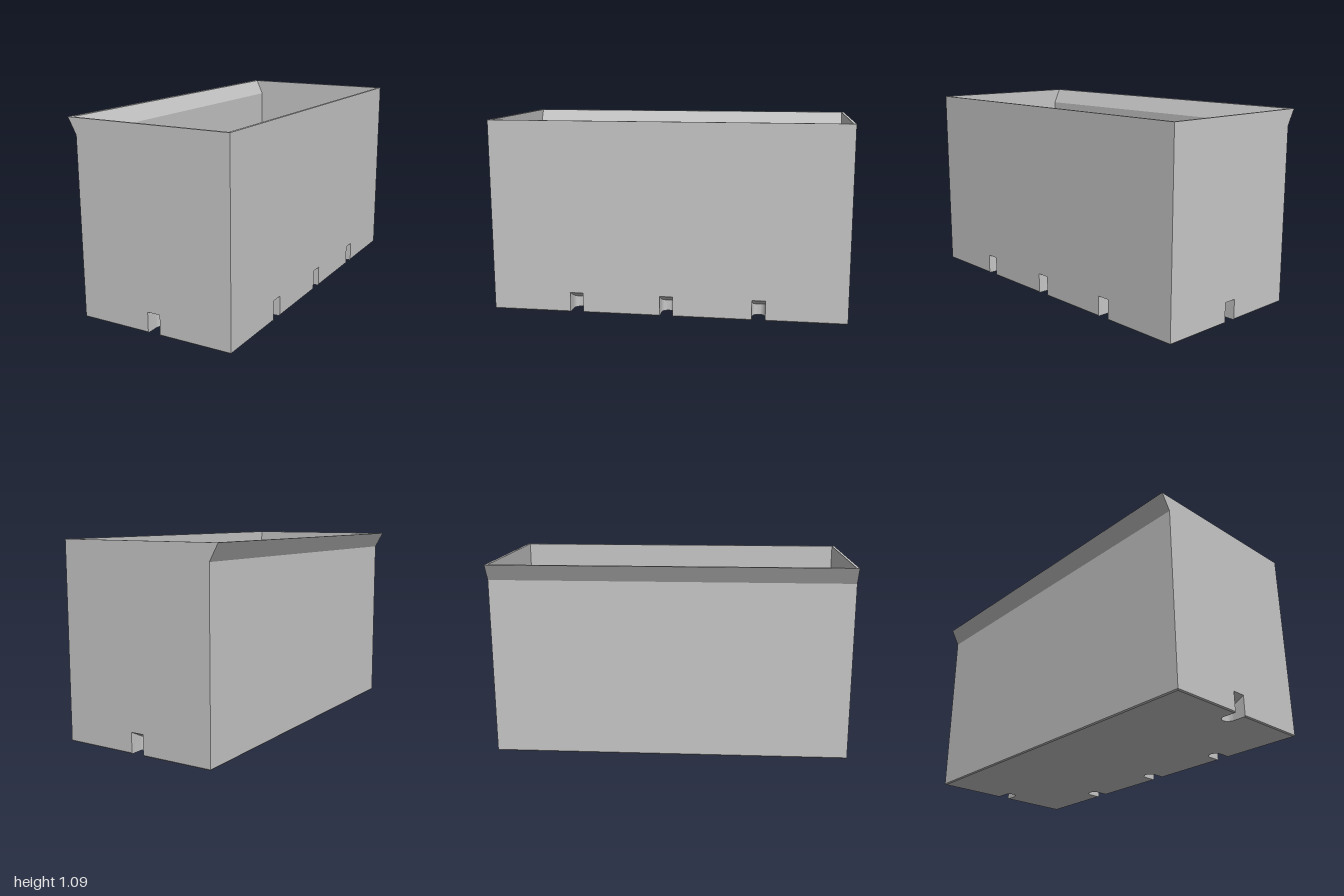
import * as THREE from 'three';
import { toCreasedNormals } from 'three/addons/utils/BufferGeometryUtils.js';

const TOP = 1.09, FLARE_Y = 1.0, X0 = -0.43, X1 = 0.48, LIP = 0.05, WALL = 0.015;
const BEVEL = 0.006;
const R = 0.0375, NOTCH_H = 0.115, NOTCH_C = 0.072, NOTCH_SLOPE = 0.5;
const NOTCH_X = 0.022, SIDE_NOTCHES = [-0.515, 0, 0.515];

// Flat-faced geometry from a list of convex polygons
function polyGeometry(polys, crease = 0) {
  const pos = [];
  for (const p of polys)
    for (let i = 1; i < p.length - 1; i++) pos.push(...p[0], ...p[i], ...p[i + 1]);
  const g = new THREE.BufferGeometry();
  g.setAttribute('position', new THREE.Float32BufferAttribute(pos, 3));
  g.computeVertexNormals();
  return crease ? toCreasedNormals(g, crease) : g;
}

const shapeGeometry = (pts) =>
  new THREE.ShapeGeometry(new THREE.Shape(pts.map(([x, y]) => new THREE.Vector2(x, y))));

// Plan of a notch as [along wall, depth]: straight sides, round back
function notchPlan(start) {
  const pts = [[-R, start]];
  for (let i = 0; i <= 14; i++) {
    const a = Math.PI * (1 - i / 14);
    pts.push([R * Math.cos(a), NOTCH_C + R * Math.sin(a)]);
  }
  pts.push([R, start]);
  return pts;
}

export function createModel() {
  const group = new THREE.Group();
  const grey = new THREE.MeshStandardMaterial({ color: 0xc8c8c8, side: THREE.DoubleSide });
  grey.name = 'plain grey';

  const add = (parent, name, geometry) => {
    const mesh = new THREE.Mesh(geometry, grey);
    mesh.name = name;
    parent.add(mesh);
    return mesh;
  };

  // Drain notch with sloping ceiling; outside of the wall is local +z
  const plan = notchPlan(0);
  const ceilingY = (d) => NOTCH_H - NOTCH_SLOPE * d;
  const sides = [];
  for (let i = 0; i < plan.length - 1; i++) {
    const [a, da] = plan[i], [b, db] = plan[i + 1];
    sides.push([[a, 0, -da], [b, 0, -db], [b, ceilingY(db), -db], [a, ceilingY(da), -da]]);
  }
  const notchSides = polyGeometry(sides, 0.5);
  const notchCeiling = polyGeometry([plan.map(([u, d]) => [u, ceilingY(d), -d])]);

  // Outer wall panel with slots, its bottom bevel and its notches
  function addWall(name, lo, hi, topPts, notches) {
    const wall = new THREE.Group();
    wall.name = name;
    const outline = [[lo, BEVEL]];
    const bevels = [];
    let from = lo;
    for (const n of [...notches, null]) {
      const to = n === null ? hi : n - R;
      bevels.push([[Math.max(from, lo + BEVEL), 0, -BEVEL], [Math.min(to, hi - BEVEL), 0, -BEVEL],
        [to, BEVEL, 0], [from, BEVEL, 0]]);
      if (n === null) break;
      outline.push([n - R, BEVEL], [n - R, NOTCH_H], [n + R, NOTCH_H], [n + R, BEVEL]);
      from = n + R;
      add(wall, 'notchSides', notchSides).position.x = n;
      add(wall, 'notchCeiling', notchCeiling).position.x = n;
    }
    outline.push([hi, BEVEL], ...topPts);
    add(wall, 'wallPanel', shapeGeometry(outline));
    add(wall, 'bottomBevel', polyGeometry(bevels));
    group.add(wall);
    return wall;
  }

  // End walls, including the profile of the flared lip
  addWall('frontWall', X0, X1, [[X1, TOP], [X0 - LIP, TOP], [X0, FLARE_Y]], [NOTCH_X]).position.z = 1;
  const back = addWall('backWall', -X1, -X0, [[-X0, FLARE_Y], [-X0 + LIP, TOP], [-X1, TOP]], [-NOTCH_X]);
  back.position.z = -1;
  back.rotation.y = Math.PI;

  // Long walls
  const left = addWall('leftWall', -1, 1, [[1, TOP], [-1, TOP]], SIDE_NOTCHES);
  left.position.x = X1;
  left.rotation.y = Math.PI / 2;
  const right = addWall('rightWall', -1, 1, [[1, FLARE_Y], [-1, FLARE_Y]], []);
  right.position.x = X0;
  right.rotation.y = -Math.PI / 2;
  add(right, 'flaredLip', polyGeometry([
    [[-1, FLARE_Y, 0], [1, FLARE_Y, 0], [1, TOP, LIP], [-1, TOP, LIP]]]));

  // Underside with the notches cut out
  const under = [];
  const cut = (cx, cz, tx, tz) => {
    for (const [u, d] of notchPlan(BEVEL)) under.push([cx + u * tx - d * tz, cz + u * tz + d * tx]);
  };
  under.push([X0 + BEVEL, -1 + BEVEL]);
  cut(NOTCH_X, -1, 1, 0);
  under.push([X1 - BEVEL, -1 + BEVEL]);
  for (const z of SIDE_NOTCHES) cut(X1, z, 0, 1);
  under.push([X1 - BEVEL, 1 - BEVEL]);
  cut(NOTCH_X, 1, -1, 0);
  under.push([X0 + BEVEL, 1 - BEVEL]);
  add(group, 'underside', shapeGeometry(under).rotateX(Math.PI / 2));

  // Inside: rectangular rings from floor to rim
  const ring = (x0, x1, z, y) => [[x0, y, z], [x1, y, z], [x1, y, -z], [x0, y, -z]];
  const inner = (d, y) => ring(X0 + WALL + d, X1 - WALL - d, 1 - WALL - d, y);
  const loft = (rings) => {
    const polys = [];
    for (let i = 0; i < rings.length - 1; i++)
      for (let k = 0; k < 4; k++) {
        const j = (k + 1) % 4;
        polys.push([rings[i][j], rings[i][k], rings[i + 1][k], rings[i + 1][j]]);
      }
    return polys;
  };
  const slope = [inner(0.165, 0.045), inner(0.1, 0.07), inner(0.05, 0.1), inner(0, 0.15)];
  const rimInner = ring(X0 - LIP + 0.022, X1 - WALL, 1 - WALL, TOP);
  add(group, 'innerFloor', polyGeometry([slope[0]]));
  add(group, 'slopedFloorEdge', polyGeometry(loft(slope), 0.35));
  add(group, 'innerWalls', polyGeometry(loft([slope[3], inner(0, FLARE_Y), rimInner])));
  add(group, 'topRim', polyGeometry(loft([rimInner, ring(X0 - LIP, X1, 1, TOP)])));

  return group;
}
